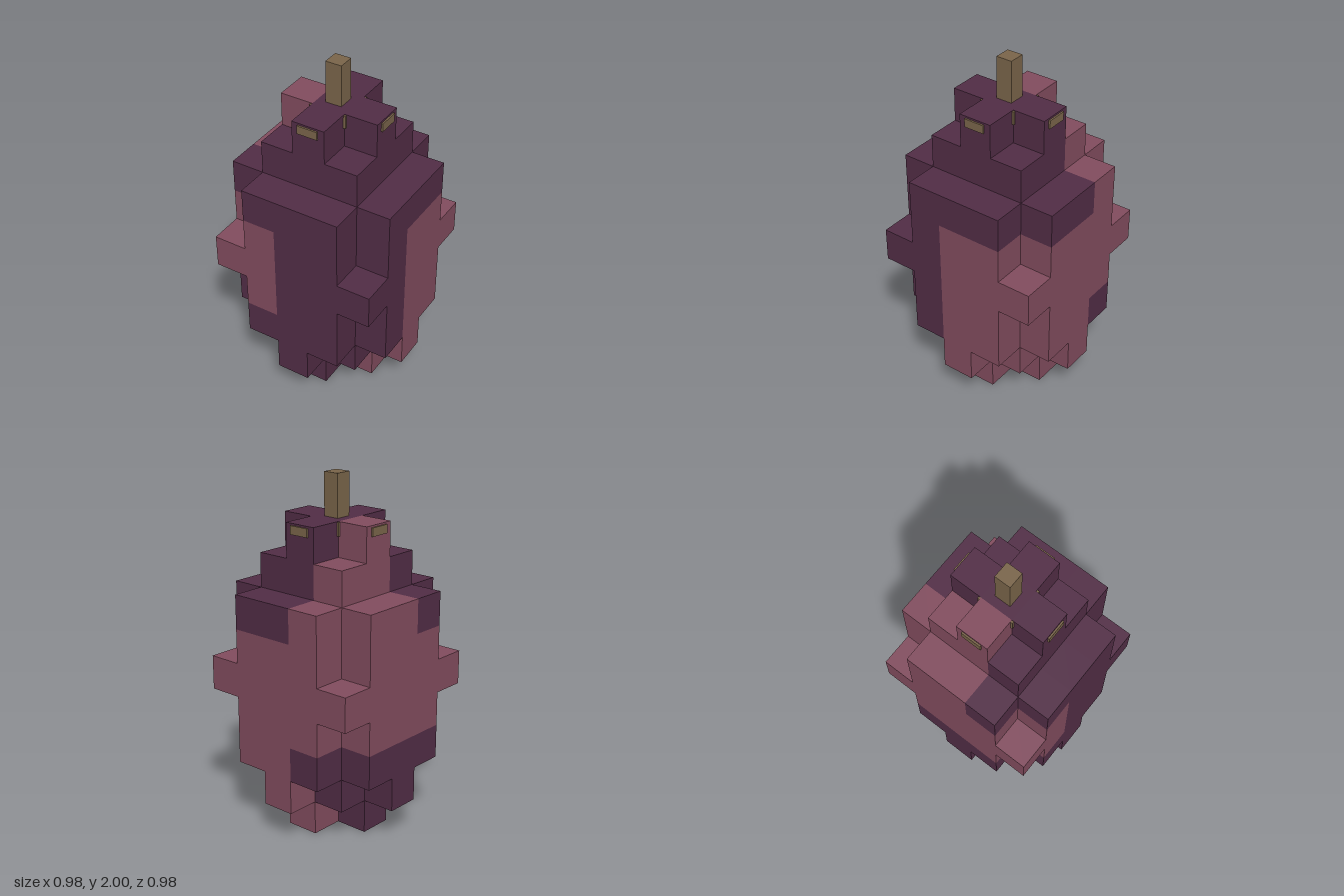
import * as THREE from 'three';
import { mergeGeometries } from 'three/addons/utils/BufferGeometryUtils.js';

const CELL = 0.1954;

// half-extent rules for each horizontal layer of the fruit, bottom to top
const plus = (x, z) => Math.abs(x) + Math.abs(z) <= 1;
const square3 = (x, z) => Math.abs(x) <= 1 && Math.abs(z) <= 1;
const cross5 = (x, z) => square3(x, z) || x * z === 0;
const rounded5 = (x, z) => Math.abs(x) + Math.abs(z) <= 3;
const square5 = () => true;
const layers = [plus, cross5, rounded5, rounded5, square5, rounded5, rounded5, square3, plus];

const filled = (x, y, z) =>
  y >= 0 && y < layers.length && Math.abs(x) <= 2 && Math.abs(z) <= 2 && layers[y](x, z);

// blush patches: blocks of cells that are pink instead of purple
function isPink(x, y, z) {
  if (y <= 2) return x >= 0 && z <= 0;
  if (y <= 5) return x < 0 || z <= 0;
  return x < 0 && z <= 0;
}

// one outward facing square for each of the six directions
const faces = [
  [1, 0, 0, 0, Math.PI / 2], [-1, 0, 0, 0, -Math.PI / 2],
  [0, 1, 0, -Math.PI / 2, 0], [0, -1, 0, Math.PI / 2, 0],
  [0, 0, 1, 0, 0], [0, 0, -1, 0, Math.PI],
];

// all exposed faces of the cells of one colour
function skin(pink) {
  const parts = [];
  for (let y = 0; y < layers.length; y++)
    for (let x = -2; x <= 2; x++)
      for (let z = -2; z <= 2; z++) {
        if (!filled(x, y, z) || isPink(x, y, z) !== pink) continue;
        for (const [dx, dy, dz, rx, ry] of faces) {
          if (filled(x + dx, y + dy, z + dz)) continue;
          const g = new THREE.PlaneGeometry(CELL, CELL);
          g.rotateX(rx).rotateY(ry);
          g.translate((x + dx / 2) * CELL, (y + 0.5 + dy / 2) * CELL, (z + dz / 2) * CELL);
          parts.push(g);
        }
      }
  return mergeGeometries(parts);
}

export function createModel() {
  const group = new THREE.Group();
  const material = (name, color) => {
    const m = new THREE.MeshStandardMaterial({ color });
    m.name = name;
    return m;
  };
  const purple = material('purple skin', 0x522d46);
  const pink = material('pink skin', 0x824c5e);
  const brown = material('stem brown', 0x7a654a);

  const add = (name, geometry, mat) => {
    const mesh = new THREE.Mesh(geometry, mat);
    mesh.name = name;
    group.add(mesh);
    return mesh;
  };
  const box = (name, w, h, d, y) =>
    add(name, new THREE.BoxGeometry(w, h, d), brown).position.set(0, y, 0);

  // fruit body
  add('purpleSkin', skin(false), purple);
  add('pinkSkin', skin(true), pink);

  // stem and the leaf base that pokes out of the crown
  box('stem', 0.095, 0.3, 0.095, 1.85);
  box('calyxCentre', 0.22, 0.075, 0.22, 1.7175);
  box('calyxLeafAcross', 0.606, 0.048, 0.12, 1.724);
  box('calyxLeafAlong', 0.12, 0.048, 0.606, 1.724);
  return group;
}
